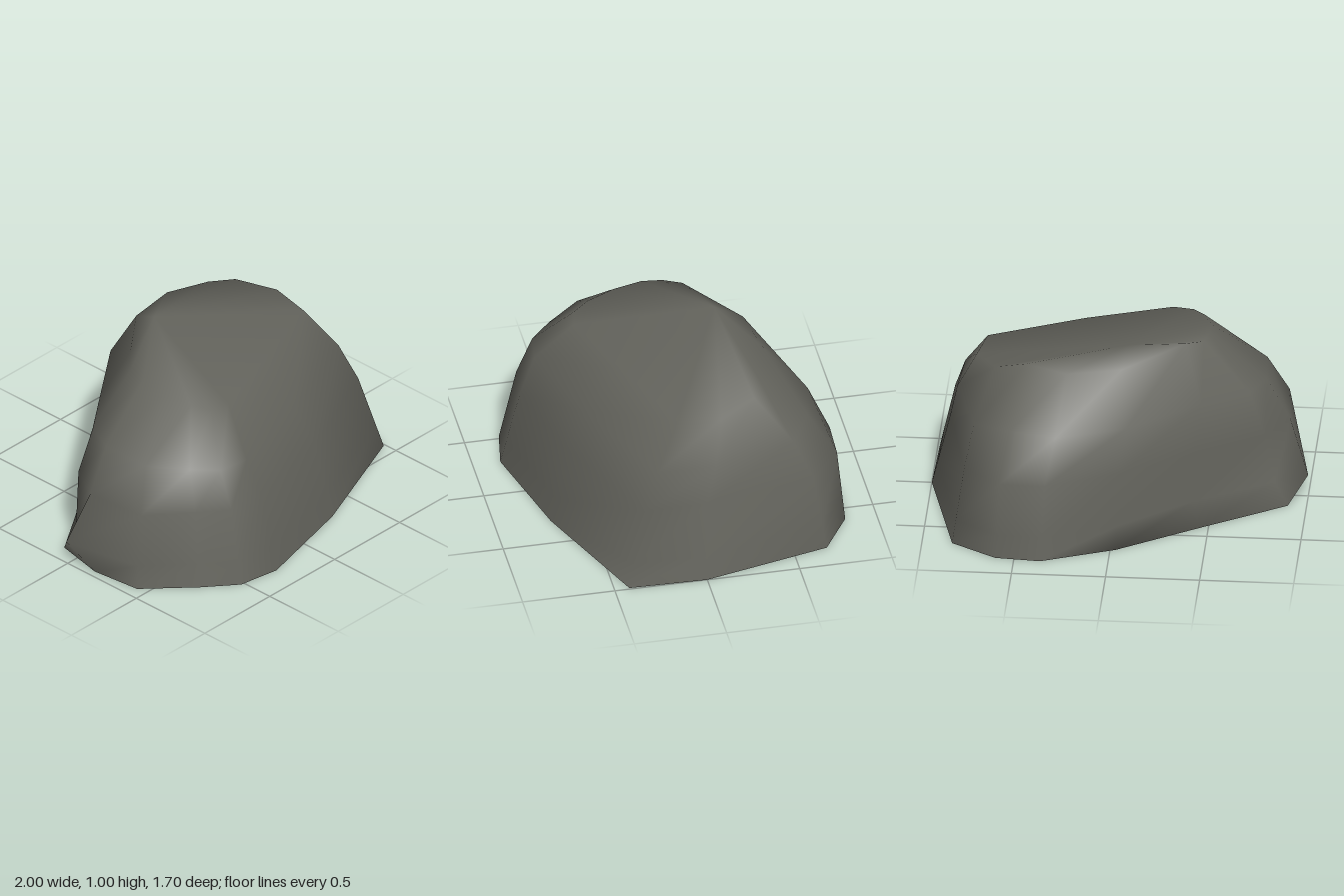
import * as THREE from 'three';

// Outlines run counter-clockwise seen from above, starting at the front +x corner.
const flat = (pairs, y) => pairs.map(([x, z]) => new THREE.Vector3(x, y, z));

const base = flat([
  [0.99, 0.42], [1, 0], [0.84, -0.68], [0.6, -0.83], [0.36, -0.85], [-0.03, -0.69], [-0.45, -0.41],
  [-0.9, -0.12], [-0.96, 0.16], [-0.93, 0.44], [-0.69, 0.67], [-0.52, 0.81], [-0.29, 0.85], [0.3, 0.7],
], 0);

const waist = flat([
  [0.9, 0.32], [0.9, -0.02], [0.78, -0.62], [0.58, -0.79], [0.34, -0.8], [-0.05, -0.62], [-0.43, -0.36],
  [-0.78, -0.13], [-0.9, 0.07], [-0.87, 0.41], [-0.65, 0.6], [-0.5, 0.72], [-0.29, 0.745], [0.27, 0.6],
], 0.42);

const crest = [
  [0.71, 0.84, 0.1], [0.75, 0.85, -0.13], [0.64, 0.88, -0.33], [0.47, 0.925, -0.37], [0.25, 0.92, -0.46],
  [-0.04, 0.93, -0.41], [-0.36, 0.965, -0.15], [-0.45, 0.935, -0.06], [-0.47, 0.93, 0.05], [-0.47, 0.9, 0.2],
  [-0.42, 0.88, 0.35], [-0.36, 0.86, 0.44], [-0.25, 0.86, 0.46], [0.2, 0.86, 0.3],
].map((p) => new THREE.Vector3(...p));

// Edge of the flat floor underneath; the front part borders a trough
const lip = flat([
  [0.64, 0], [0.75, -0.05], [0.6, -0.48], [0.45, -0.58], [0.3, -0.6], [0, -0.5], [-0.35, -0.3],
  [-0.7, -0.05], [-0.86, 0.12], [-0.72, 0.2], [-0.5, 0.31], [-0.32, 0.4], [-0.13, 0.48], [0.38, 0.02],
], 0);

function rockGeometry() {
  const n = base.length;
  const points = [];
  const index = [];
  const add = (p) => points.push(p.x, p.y, p.z) / 3 - 1;
  const mix = (a, b, t) => a.map((p, i) => p.clone().lerp(b[i], t));
  const bridge = (a, b) => {
    for (let i = 0; i < n; i++) {
      const j = (i + 1) % n;
      index.push(a[i], a[j], b[j], a[i], b[j], b[i]);
    }
  };
  const fan = (ring, tip, up) => {
    for (let i = 0; i < n; i++) {
      const j = (i + 1) % n;
      index.push(...(up ? [ring[i], ring[j], tip] : [ring[j], ring[i], tip]));
    }
  };

  // Low ring: a small spur at -x and a shallow recess in the back
  const low = mix(base, waist, 0.31);
  low[6].set(-0.42, 0.13, -0.35);
  low[7].set(-0.83, 0.13, -0.1);
  low[8].set(-1, 0.13, -0.01);

  // Shoulder ring, bulged outwards
  const shoulder = mix(waist, crest, 0.47);
  for (const p of shoulder) {
    p.x = 0.4 + (p.x - 0.4) * 1.07;
    p.z *= 1.08;
  }

  // Walls and peak
  const rings = [base, low, waist, shoulder, crest].map((ring) => ring.map(add));
  for (let r = 0; r < rings.length - 1; r++) bridge(rings[r], rings[r + 1]);
  fan(rings[4], add(new THREE.Vector3(-0.06, 1, -0.26)), true);

  // Underside: flat floor, trough along the front, edge rounded only in the back recess
  const rim = base.map((p, i) => (i === 5 || i === 6 ? rings[0][i] : add(p)));
  const trough = mix(base, lip, 0.65).map((p, i) => {
    if (i === 0 || i > 8) p.y = 0.18;
    return add(p);
  });
  const floorEdge = lip.map(add);
  bridge(trough, rim);
  bridge(floorEdge, trough);
  fan(lip.map(add), add(new THREE.Vector3(0.05, 0, -0.2)), false);

  const geometry = new THREE.BufferGeometry();
  geometry.setAttribute('position', new THREE.Float32BufferAttribute(points, 3));
  geometry.setIndex(index);
  geometry.computeVertexNormals();
  return geometry;
}

export function createModel() {
  const stone = new THREE.MeshStandardMaterial({ color: 0x63635c });
  stone.name = 'darkStone';

  const rock = new THREE.Mesh(rockGeometry(), stone);
  rock.name = 'boulder';

  const group = new THREE.Group();
  group.name = 'rock';
  group.add(rock);
  return group;
}
